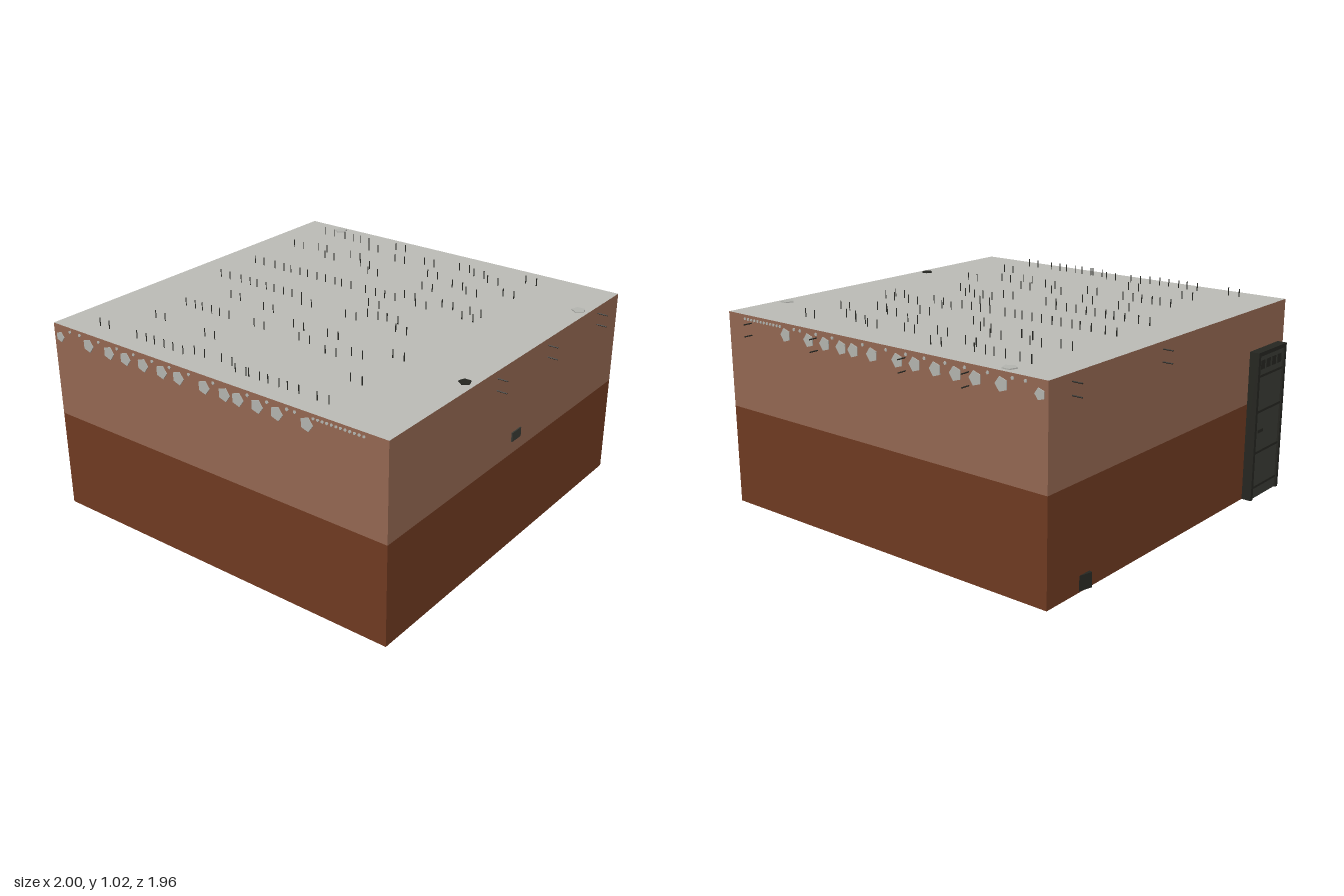
import * as THREE from 'three';

const mat = (name, color, opts = {}) => {
  const m = new THREE.MeshStandardMaterial({ color, flatShading: true, ...opts });
  m.name = name;
  return m;
};

export function createModel() {
  const root = new THREE.Group();
  root.name = 'pipeRoom';
  const both = { side: THREE.DoubleSide };
  const roofGrey = mat('concrete grey', 0xbdbdb8, both);
  const upperBrown = mat('upper wall brown', 0x966953, both);
  const lowerBrown = mat('lower wall brown', 0x713b22, both);
  const dark = mat('dark iron', 0x3a3b35);
  const black = mat('black iron', 0x262722);
  const pipeGrey = mat('pipe grey', 0xb6b7b2);
  const seatRed = mat('seat red', 0x6b3226);
  const pane = mat('pale pane', 0xc8ccc6);

  const add = (name, geo, material, x = 0, y = 0, z = 0, parent = root) => {
    const m = new THREE.Mesh(geo, material);
    m.name = name;
    m.position.set(x, y, z);
    parent.add(m);
    return m;
  };
  const box = (name, w, h, d, material, x, y, z, parent) =>
    add(name, new THREE.BoxGeometry(w, h, d), material, x, y, z, parent);
  // Straight round bar between two points
  const bar = (name, a, b, r, material, sides = 5, parent = root) => {
    const p = new THREE.Vector3(...a), q = new THREE.Vector3(...b);
    const m = add(name, new THREE.CylinderGeometry(r, r, p.distanceTo(q), sides), material, 0, 0, 0, parent);
    m.position.copy(p).add(q).multiplyScalar(0.5);
    m.quaternion.setFromUnitVectors(new THREE.Vector3(0, 1, 0), q.sub(p).normalize());
    return m;
  };

  // Shell: two-tone walls, flat ceiling, open underneath
  const X = 0.95, Z0 = -0.94, Z1 = 0.975, zc = (Z0 + Z1) / 2, Y0 = 0.03, YM = 0.52, Y1 = 0.985;
  for (const [label, lo, hi, m] of [['lower', Y0, YM, lowerBrown], ['upper', YM, Y1, upperBrown]]) {
    const h = hi - lo, y = (lo + hi) / 2;
    add(label + 'FrontWall', new THREE.PlaneGeometry(2 * X, h), m, 0, y, Z1);
    add(label + 'BackWall', new THREE.PlaneGeometry(2 * X, h), m, 0, y, Z0).rotation.y = Math.PI;
    for (const s of [-1, 1])
      add(label + 'SideWall', new THREE.PlaneGeometry(Z1 - Z0, h), m, s * X, y, zc).rotation.y = s * Math.PI / 2;
  }
  add('ceiling', new THREE.PlaneGeometry(2 * X, Z1 - Z0), roofGrey, 0, Y1, zc).rotation.x = -Math.PI / 2;

  // Five-sided pipes running front to back under the ceiling
  const zPipe = (name, x, y, r, z0 = Z0 - 0.004, z1 = Z1 + 0.004) => {
    const g = new THREE.CylinderGeometry(r, r, z1 - z0, 5).rotateX(Math.PI / 2).rotateZ(Math.PI / 2);
    add(name, g, pipeGrey, x, y, (z0 + z1) / 2);
  };
  // Each row: pipe x, then the z of its hangers
  const rows = [
    [-0.72, -0.79, -0.52, -0.2, 0.06, 0.87],
    [-0.585, -0.79, -0.555, -0.2, 0.06, 0.45, 0.65],
    [-0.48, -0.79, -0.48, -0.2, 0.06, 0.25, 0.45, 0.87],
    [-0.37, -0.72, -0.56, -0.2, 0.06, 0.45, 0.87],
    [-0.255, -0.81, -0.49, -0.2, 0.06, 0.27, 0.67, 0.87],
    [-0.155, -0.66, -0.42, -0.2, 0.11, 0.45, 0.84],
    [-0.005, -0.71, -0.2, 0.35, 0.83],
    [0.11, -0.57, -0.2, -0.07, 0.11, 0.45, 0.87],
    [0.185, -0.75, -0.41, -0.26, 0.04, 0.34, 0.87],
    [0.29, -0.72, -0.52, -0.2, 0.03, 0.49, 0.87],
    [0.395, -0.68, -0.48, -0.27, 0.11, 0.44, 0.87],
    [0.55, -0.79, -0.57, -0.27, -0.2, 0.35, 0.65, 0.87],
  ];
  for (const [x, ...zs] of rows) {
    zPipe('ceilingPipe', x, 0.93, 0.033);
    for (const z of zs) {
      for (const s of [-1, 1]) bar('hangerRod', [x + s * 0.03, 0.93, z], [x + s * 0.03, 1.025, z], 0.003, black, 4);
      box('hangerStrap', 0.066, 0.006, 0.01, black, x, 0.898, z);
    }
  }
  zPipe('sidePipe', -0.91, 0.925, 0.026);

  // Thin conduits close to the ceiling
  for (const x of [-0.84, -0.775, -0.65, -0.53, -0.425, -0.31, -0.205, -0.09, 0.05, 0.24, 0.345, 0.45, 0.49])
    zPipe('conduit', x, 0.965, 0.008);
  for (let i = 0; i < 12; i++) zPipe('conduit', 0.585 + i * 0.0225, 0.965, 0.007);

  // Wall pipes with risers through the ceiling
  bar('backWallPipe', [-0.72, 0.92, -0.89], [0.9, 0.92, -0.89], 0.024, pipeGrey);
  zPipe('leftWallPipe', 0.9, 0.92, 0.024, -0.625, 0.93);
  bar('backRiser', [-0.72, 0.9, -0.89], [-0.72, 0.99, -0.89], 0.034, pipeGrey);
  bar('sideRiser', [0.9, 0.9, -0.625], [0.9, 0.99, -0.625], 0.034, pipeGrey);
  bar('drainPipe', [0.9, 0, 0.37], [0.9, 0.985, 0.37], 0.022, pipeGrey);
  bar('drainCap', [0.9, 0.97, 0.37], [0.9, 0.99, 0.37], 0.029, black);

  // Pipe bracket pins through the walls
  for (const y of [0.95, 0.893]) {
    for (const z of [-0.79, -0.14]) bar('bracketPin', [-0.9, y, z], [-1, y, z], 0.003, black, 4);
    for (const z of [-0.73, -0.25, 0.19]) bar('bracketPin', [0.9, y, z], [1, y, z], 0.003, black, 4);
    for (const x of [-0.55, -0.2, 0.34, 0.79]) bar('bracketPin', [x, y, -0.89], [x, y, -0.985], 0.003, black, 4);
  }
  box('wallVent', 0.012, 0.045, 0.075, dark, 0.95, 0.605, 0);

  // Door in the side wall, detailed on both faces
  const door = new THREE.Group();
  door.name = 'door';
  door.position.set(-0.965, Y0, 0.78);
  root.add(door);
  box('doorLeaf', 0.05, 0.74, 0.25, dark, 0, 0.37, 0, door);
  for (const s of [-1, 1]) box('doorJamb', 0.07, 0.75, 0.02, black, 0, 0.375, s * 0.13, door);
  box('doorHead', 0.07, 0.02, 0.28, black, 0, 0.742, 0, door);
  for (const s of [-1, 1]) {
    const x = s * 0.026;
    for (const y of [0.06, 0.24, 0.45, 0.63]) box('doorRail', 0.008, 0.012, 0.24, black, x, y, 0, door);
    for (let i = 0; i < 4; i++) box('doorPane', 0.006, 0.045, 0.04, black, x, 0.685, -0.084 + i * 0.056, door);
    box('doorHandle', 0.016, 0.015, 0.05, black, x, 0.35, -0.08, door);
  }

  // Framed window panel inside the side wall
  box('windowFrame', 0.02, 0.33, 0.19, black, -0.935, 0.65, 0.03);
  box('windowPane', 0.006, 0.28, 0.14, pane, -0.923, 0.65, 0.03);
  box('windowLatch', 0.008, 0.12, 0.03, dark, -0.918, 0.68, 0.03);

  // Round pedestal table
  add('tableTop', new THREE.CylinderGeometry(0.31, 0.31, 0.02, 24), dark, 0.02, 0.33, 0);
  add('tablePedestal', new THREE.CylinderGeometry(0.09, 0.09, 0.29, 16), dark, 0.02, 0.175, 0);

  // Hanging lamp
  add('lampShade', new THREE.CylinderGeometry(0.05, 0.095, 0.06, 16), dark, 0.02, 0.75, 0);
  bar('lampCord', [0.02, 0.77, 0], [0.02, Y1 - 0.005, 0], 0.006, black);

  // Chair
  const chair = new THREE.Group();
  chair.name = 'chair';
  chair.position.set(0.07, Y0, -0.42);
  root.add(chair);
  box('seat', 0.15, 0.015, 0.15, seatRed, 0, 0.165, 0, chair);
  for (const sx of [-1, 1]) {
    bar('frontLeg', [sx * 0.07, 0, 0.07], [sx * 0.07, 0.165, 0.07], 0.007, black, 5, chair);
    bar('backPost', [sx * 0.07, 0, -0.07], [sx * 0.07, 0.36, -0.085], 0.007, black, 5, chair);
  }
  for (const y of [0.26, 0.34]) box('backSlat', 0.14, 0.025, 0.01, black, 0, y, -0.082, chair);

  // Low machines in opposite corners
  for (const [x, z, turn] of [[0.75, 0.76, -0.85], [-0.78, -0.7, -0.25]]) {
    const m = new THREE.Group();
    m.name = 'cornerMachine';
    m.position.set(x, Y0, z);
    m.rotation.y = turn;
    root.add(m);
    box('machineBase', 0.34, 0.07, 0.18, black, 0, 0.04, 0, m);
    box('machineBody', 0.26, 0.08, 0.14, dark, 0, 0.115, 0, m);
    for (const s of [-1, 1]) {
      bar('machineTube', [s * 0.08, 0.15, 0], [s * 0.04, 0.27, 0], 0.022, dark, 8, m);
      bar('machineArm', [s * 0.04, 0.26, 0], [-s * 0.12, 0.2, s * 0.04], 0.012, black, 6, m);
    }
  }
  return root;
}
